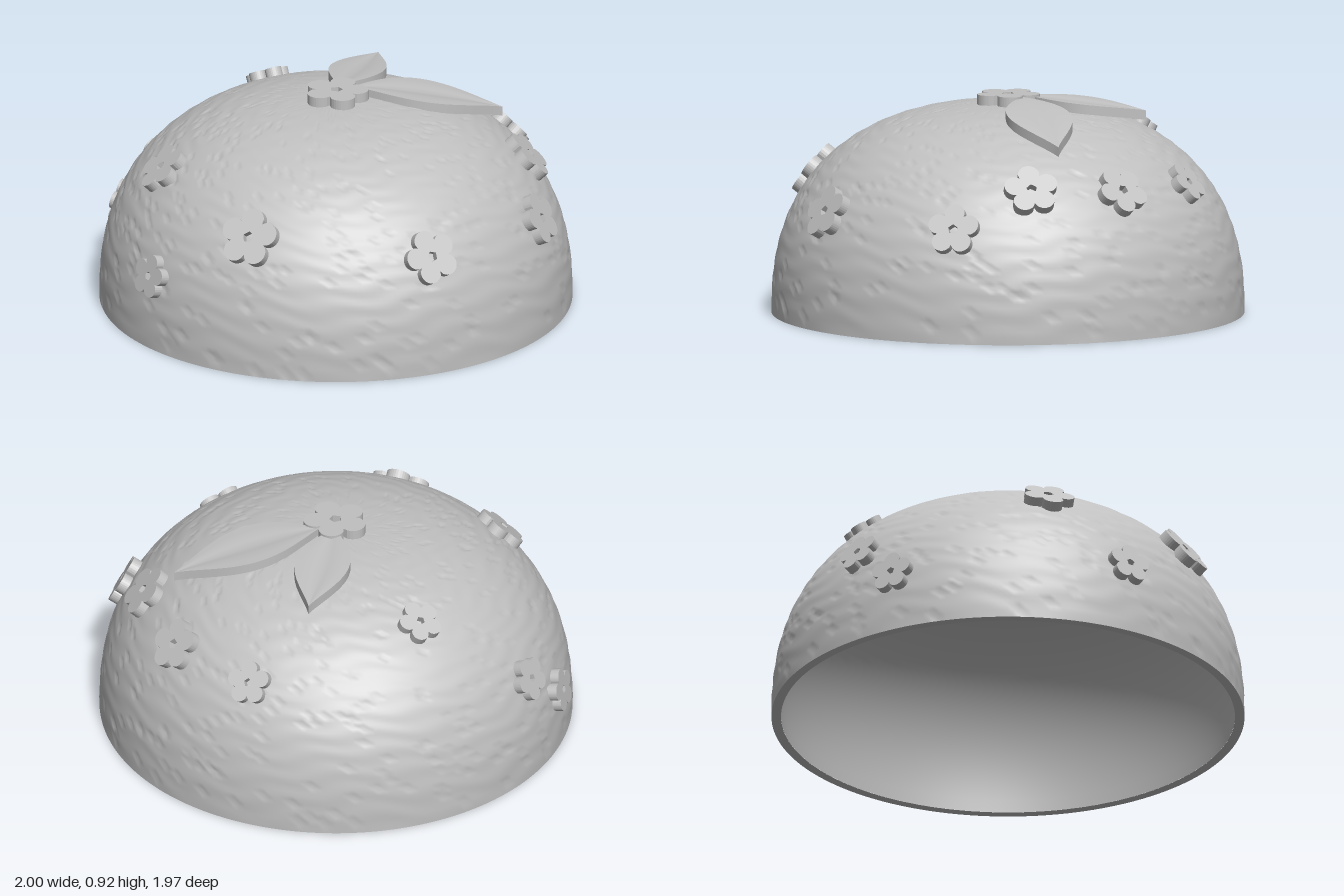
import * as THREE from 'three';
import { mergeVertices } from 'three/addons/utils/BufferGeometryUtils.js';

const R = 0.985, H = 0.88, N = 2.4, CX = 0.008;

// Superelliptic dome profile: radius and height at angle t
const profile = (r, h, t) => new THREE.Vector2(
  r * Math.pow(Math.max(0, Math.cos(t)), 2 / N), h * Math.pow(Math.max(0, Math.sin(t)), 2 / N));

const domeHeight = (r) => H * Math.pow(Math.max(0, 1 - Math.pow(r / R, N)), 1 / N);

// Outward direction of the dome at a point
function domeNormal(x, y, z) {
  const r = Math.hypot(x, z) || 1e-6;
  const nr = Math.pow(r, N - 1) / Math.pow(R, N);
  const ny = Math.pow(Math.max(0, y), N - 1) / Math.pow(H, N);
  return new THREE.Vector3(nr * x / r, ny, nr * z / r).normalize();
}

function seeded(seed) {
  let s = seed;
  return () => (s = (s * 16807) % 2147483647) / 2147483647;
}

// Outer shell with fine ripples and scattered short dents
function outerShell() {
  const rows = 90, cols = 240, points = [];
  for (let j = 0; j <= rows; j++) points.push(profile(R, H, (j / rows) * Math.PI / 2));
  const geo = new THREE.LatheGeometry(points, cols);
  const random = seeded(4711);
  const dents = Array.from({ length: cols * (rows + 1) }, () => (random() > 0.965 ? 0.008 : 0));
  const pos = geo.attributes.position;
  for (let i = 0; i <= cols; i++) {
    const a = (i / cols) * Math.PI * 2;
    for (let j = 1; j < rows; j++) {
      const k = i * (rows + 1) + j;
      const fade = Math.min(1, 2.5 * Math.cos((j / rows) * Math.PI / 2));
      const ripple = 0.0012 * Math.sin(j * 1.1 + 2 * Math.sin(5 * a) + Math.sin(17 * a + j * 0.3));
      const p = new THREE.Vector3().fromBufferAttribute(pos, k);
      p.addScaledVector(domeNormal(p.x, p.y, p.z),
        (ripple - dents[(i % cols) * (rows + 1) + j]) * fade);
      pos.setXYZ(k, p.x, p.y, p.z);
    }
  }
  geo.deleteAttribute('uv');
  geo.deleteAttribute('normal');
  const merged = mergeVertices(geo, 1e-5);
  merged.computeVertexNormals();
  return merged;
}

// Five-petalled flower with a pentagonal hole; its front face lies at z = 0.033
function flowerGeometry(radius) {
  const outline = [], hole = [];
  for (let i = 0; i < 80; i++) {
    const a = (i / 80) * Math.PI * 2;
    const lobe = Math.pow(Math.abs(Math.cos(2.5 * a)), 0.65);
    const r = radius * (0.62 + 0.38 * lobe);
    outline.push(new THREE.Vector2(-Math.sin(a) * r, Math.cos(a) * r));
  }
  for (let i = 0; i < 5; i++) {
    const a = (i / 5) * Math.PI * 2;
    hole.push(new THREE.Vector2(Math.sin(a), Math.cos(a)).multiplyScalar(radius * 0.2));
  }
  const shape = new THREE.Shape(outline);
  shape.holes.push(new THREE.Path(hole));
  return new THREE.ExtrudeGeometry(shape, { depth: 0.06, bevelEnabled: false }).translate(0, 0, -0.027);
}

// Lens-shaped leaf along +x, folded at the midrib and drooping toward the tip
function leafGeometry(length, half, drop) {
  const geo = new THREE.BoxGeometry(1, 1, 2, 32, 1, 8);
  const pos = geo.attributes.position;
  for (let i = 0; i < pos.count; i++) {
    const u = pos.getX(i) + 0.5, w = pos.getZ(i);
    const width = half * Math.pow(Math.sin(Math.PI * Math.pow(u, 0.92)), 1.15) || 0;
    const fold = 0.01 * Math.max(0, 1 - Math.abs(w) * 2) * Math.sin(Math.PI * u);
    const thick = pos.getY(i) < 0 ? 0.04 : 0;
    pos.setXYZ(i, u * length, -drop * Math.pow(u, 1.7) - fold - thick, w * width);
  }
  geo.computeVertexNormals();
  return geo;
}

export function createModel() {
  const group = new THREE.Group();
  const grey = new THREE.MeshStandardMaterial({ color: 0xc0c0c0 });
  grey.name = 'plain grey';
  const add = (name, geo) => {
    const mesh = new THREE.Mesh(geo, grey);
    mesh.name = name;
    group.add(mesh);
    return mesh;
  };

  // Hollow dome: outer skin, smooth inside, flat rim
  const wall = 0.04, inner = [];
  for (let j = 40; j >= 0; j--) inner.push(profile(R - wall, H - wall, (j / 40) * Math.PI / 2));
  const rim = [new THREE.Vector2(R - wall, 0), new THREE.Vector2(R, 0)];
  add('domeOuter', outerShell()).position.x = CX;
  add('domeInner', new THREE.LatheGeometry(inner, 96)).position.x = CX;
  add('domeRim', new THREE.LatheGeometry(rim, 240)).position.x = CX;

  // Flowers around the dome: x, z, y, radius, spin
  const flowers = [
    [-0.09, 0.85, 0.55, 0.125, 0], [-0.62, 0.47, 0.65, 0.11, -0.5],
    [-0.54, 0.8, 0.31, 0.092, -0.1], [0.64, 0.64, 0.48, 0.115, 0.3],
    [0.91, 0.04, 0.46, 0.11, 0], [0.81, -0.275, 0.61, 0.115, 0.1],
    [0.59, -0.63, 0.59, 0.11, 0.4], [0.21, -0.82, 0.58, 0.092, 0.2],
    [-0.45, -0.455, 0.74, 0.092, 0.1], [-0.87, -0.28, 0.42, 0.092, 0.3],
    [-0.96, -0.09, 0.26, 0.092, 0],
  ];
  for (const [x, z, y, radius, spin] of flowers) {
    // Slide the centre radially onto the surface
    const r = R * Math.pow(1 - Math.pow(y / H, N), 1 / N), a = Math.atan2(z, x - CX);
    const p = new THREE.Vector3(Math.cos(a) * r, y, Math.sin(a) * r);
    const n = domeNormal(p.x, p.y, p.z);
    const flower = add('flower', flowerGeometry(radius));
    flower.position.set(p.x + CX, p.y, p.z);
    flower.lookAt(flower.position.clone().add(n));
    flower.rotateZ(spin);
  }

  // Crown flower
  const crown = add('crownFlower', flowerGeometry(0.135));
  crown.position.set(0.01, domeHeight(0) + 0.006, 0);
  crown.rotation.x = -Math.PI / 2;

  // Two leaves: start x, z, end x, z, half width, droop
  const leaves = [
    [0, -0.06, 0, -0.585, 0.115, 0.05],
    [0.06, -0.07, 0.625, -0.345, 0.135, 0.125],
  ];
  for (const [x0, z0, x1, z1, half, drop] of leaves) {
    const leaf = add('leaf', leafGeometry(Math.hypot(x1 - x0, z1 - z0), half, drop));
    leaf.position.set(x0, 0.912, z0);
    leaf.rotation.y = Math.atan2(z0 - z1, x1 - x0);
  }
  return group;
}
